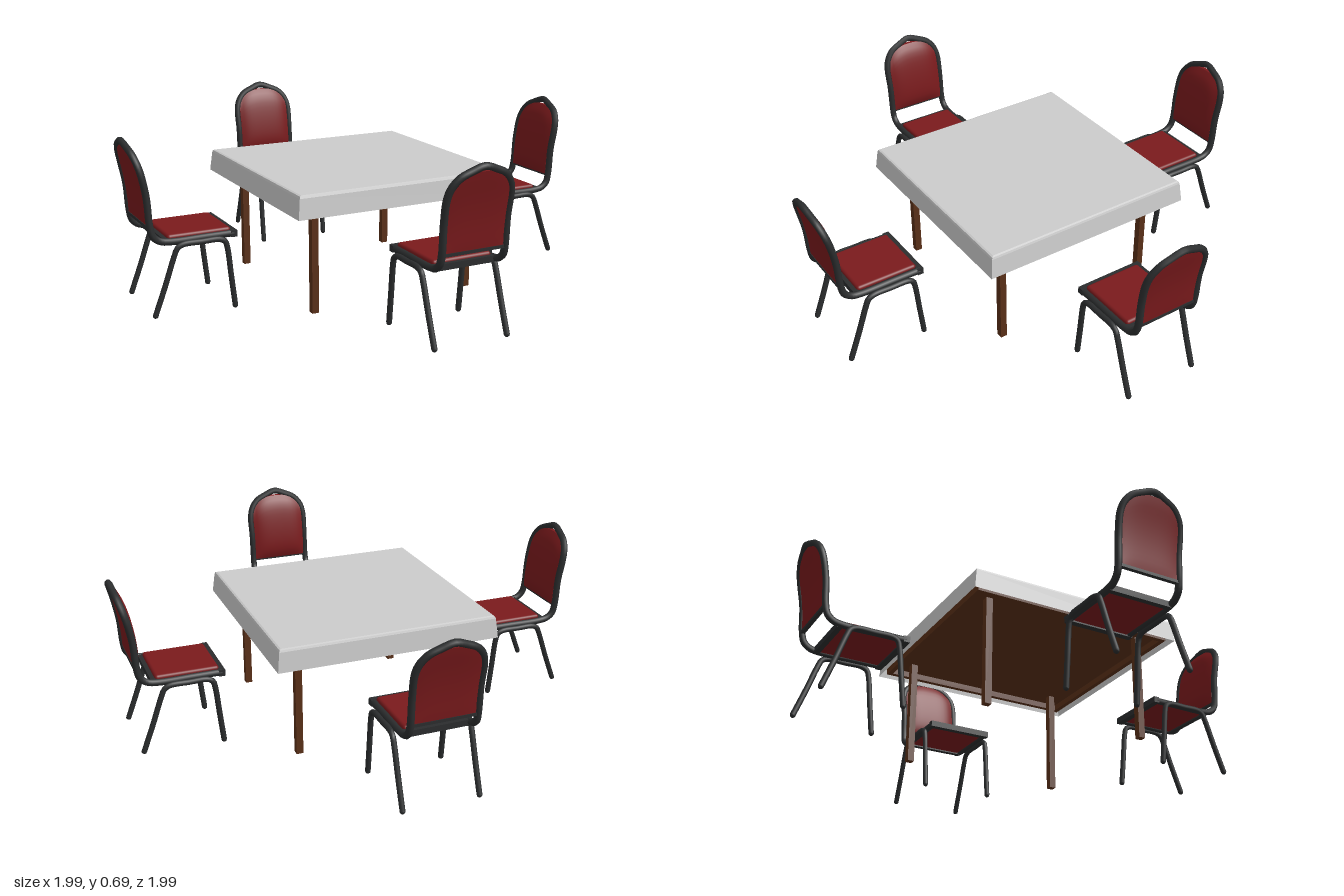
import * as THREE from 'three';
import { RoundedBoxGeometry } from 'three/addons/geometries/RoundedBoxGeometry.js';

const metal = new THREE.MeshStandardMaterial({ color: 0x2b2d2e });
const fabric = new THREE.MeshStandardMaterial({ color: 0x7a1a1c });
const wood = new THREE.MeshStandardMaterial({ color: 0x5a3018 });
const cloth = new THREE.MeshStandardMaterial({ color: 0xcccccc, side: THREE.DoubleSide });

function add(parent, name, geometry, material, x = 0, y = 0, z = 0) {
  const mesh = new THREE.Mesh(geometry, material);
  mesh.name = name;
  mesh.position.set(x, y, z);
  parent.add(mesh);
  return mesh;
}

function tube(points, radius, segments) {
  const curve = new THREE.CatmullRomCurve3(points.map(p => new THREE.Vector3(...p)));
  return new THREE.TubeGeometry(curve, segments, radius, 8);
}

// distance of the reclined backrest from the table centre at height y
const backDepth = y => 0.925 + 0.06 * Math.max(0, (y - 0.36) / 0.33) ** 2;

// curved, cushioned back panel with an arched top
function backPadGeometry() {
  const geo = new THREE.BoxGeometry(2, 1, 2, 14, 14, 2);
  const pos = geo.attributes.position;
  for (let i = 0; i < pos.count; i++) {
    const u = pos.getX(i), v = pos.getY(i) + 0.5, w = pos.getZ(i);
    const top = 0.662 - 0.065 * Math.abs(u) ** 3;
    const y = 0.365 + (top - 0.365) * v;
    const bulge = (1 - u ** 4) * (1 - (2 * v - 1) ** 6);
    const thick = w > 0 ? 0.009 + 0.016 * bulge : 0.006 + 0.004 * bulge;
    pos.setXYZ(i, u * 0.122, y, -backDepth(y) + w * thick);
  }
  geo.computeVertexNormals();
  return geo;
}

function createChair() {
  const chair = new THREE.Group();
  chair.name = 'chair';

  // one bent tube: seat side, up the back, over the arch and down again
  const half = [[0.133, 0.3, -0.592], [0.133, 0.3, -0.7], [0.133, 0.3, -0.85],
    [0.133, 0.308, -0.89], [0.133, 0.33, -0.915]];
  for (const [x, y] of [[0.132, 0.37], [0.132, 0.48], [0.132, 0.57], [0.121, 0.61], [0.092, 0.645], [0.05, 0.665]])
    half.push([x, y, -backDepth(y)]);
  const mirrored = half.map(([x, y, z]) => [-x, y, z]).reverse();
  add(chair, 'backFrame', tube([...half, [0, 0.681, -backDepth(0.681)], ...mirrored], 0.014, 120), metal);

  // cross bars of the seat and back
  add(chair, 'seatFrontBar', new THREE.BoxGeometry(0.29, 0.026, 0.026), metal, 0, 0.3, -0.592);
  add(chair, 'seatRearBar', new THREE.BoxGeometry(0.27, 0.024, 0.022), metal, 0, 0.3, -0.862);
  add(chair, 'backLowerBar', new THREE.BoxGeometry(0.26, 0.012, 0.016), metal, 0, 0.364, -0.926);

  // cushions
  add(chair, 'seatPad', new RoundedBoxGeometry(0.25, 0.032, 0.258, 3, 0.012), fabric, 0, 0.308, -0.727);
  add(chair, 'backPad', backPadGeometry(), fabric);

  // each side has one bent tube forming a front and a rear leg
  for (const s of [1, -1]) {
    const x = s * 0.155;
    const path = [[0.6, 0.011], [0.613, 0.13], [0.626, 0.25], [0.634, 0.277], [0.655, 0.289], [0.73, 0.29],
      [0.805, 0.289], [0.828, 0.277], [0.841, 0.25], [0.882, 0.135], [0.925, 0.022]];
    add(chair, 'sideLegs', tube(path.map(([d, y]) => [x, y, -d]), 0.0115, 60), metal);
    add(chair, 'frontFoot', new THREE.SphereGeometry(0.0115, 8, 6), metal, x, 0.0115, -0.6);
    add(chair, 'rearFoot', new THREE.SphereGeometry(0.0115, 8, 6), metal, x, 0.022, -0.925);
  }
  return chair;
}

// open-bottomed cover whose sides flare outwards
function clothGeometry() {
  const rings = [[0.461, 0.414], [0.452, 0.494], [0.449, 0.502], [0.442, 0.505], [0, 0.505]];
  const points = rings.map(([r, y]) => new THREE.Vector2(r * Math.SQRT2, y));
  const geo = new THREE.LatheGeometry(points, 4, Math.PI / 4).toNonIndexed();
  geo.computeVertexNormals();
  return geo;
}

function createTable() {
  const table = new THREE.Group();
  table.name = 'table';
  add(table, 'tablecloth', clothGeometry(), cloth);
  add(table, 'tabletop', new THREE.BoxGeometry(0.87, 0.05, 0.87), wood, 0, 0.47, 0);
  for (const s of [1, -1]) {
    // rim under the tabletop
    add(table, 'sideRim', new THREE.BoxGeometry(0.02, 0.03, 0.87), wood, s * 0.425, 0.435, 0);
    add(table, 'endRim', new THREE.BoxGeometry(0.83, 0.03, 0.02), wood, 0, 0.435, s * 0.425);
    for (const t of [1, -1])
      add(table, 'tableLeg', new THREE.BoxGeometry(0.028, 0.45, 0.028), wood, s * 0.347, 0.225, t * 0.347);
  }
  return table;
}

export function createModel() {
  const model = new THREE.Group();
  model.name = 'diningSet';
  model.add(createTable());
  // a chair on every side, facing the table
  for (let i = 0; i < 4; i++) {
    const chair = createChair();
    chair.rotation.y = i * Math.PI / 2;
    model.add(chair);
  }
  return model;
}
